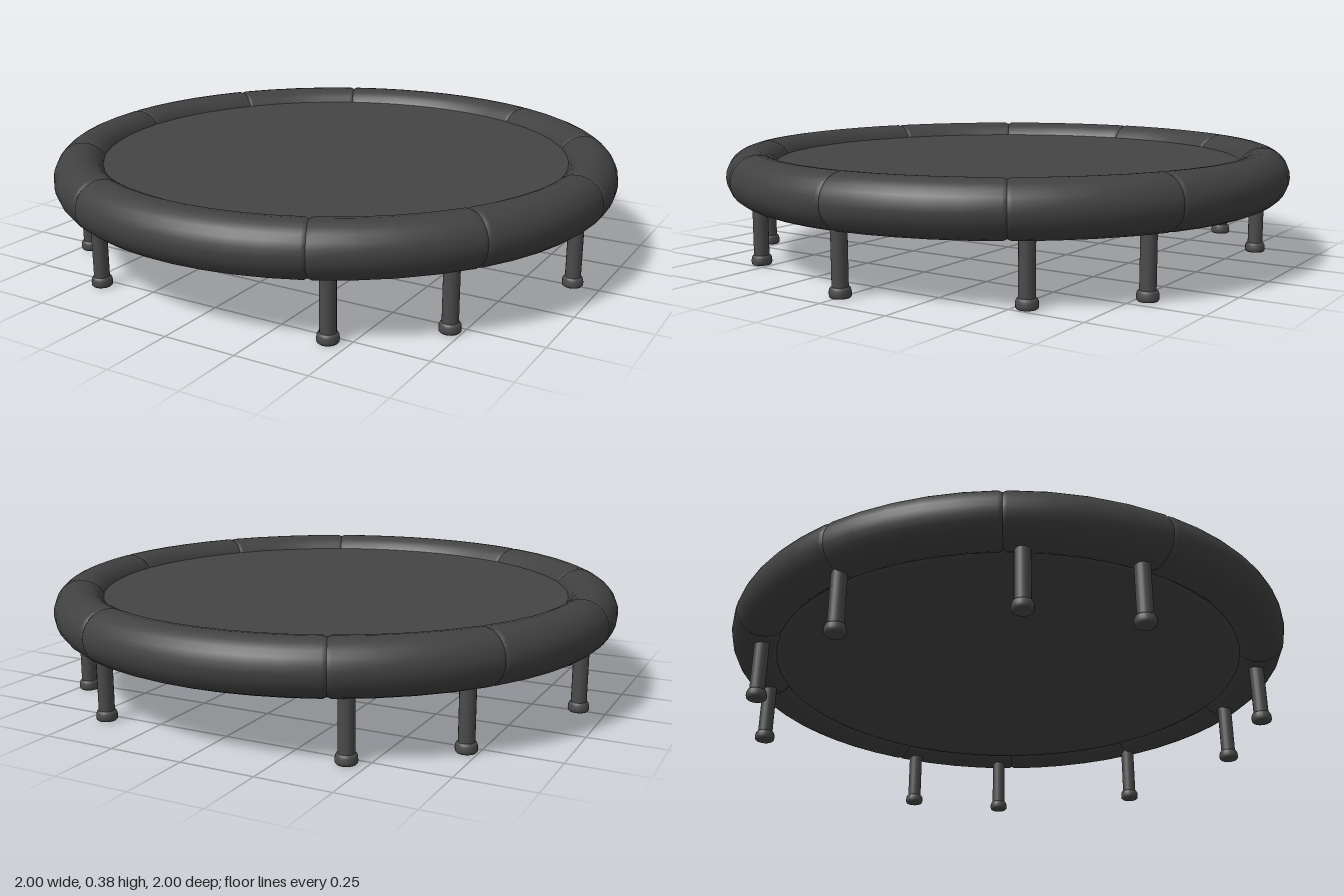
import * as THREE from 'three';
import { mergeVertices } from 'three/addons/utils/BufferGeometryUtils.js';

const RING_R = 0.909, TUBE_R = 0.091, RING_Y = 0.294;

// One padded cover section: a torus arc whose two ends are pinched into a seam
function coverSection(start, end) {
  const sides = 24, steps = Math.max(6, Math.round((end - start) / 0.085));
  const geo = new THREE.TorusGeometry(RING_R, TUBE_R, sides, steps, end - start);
  const pos = geo.attributes.position;
  const lip = 0.014;
  for (let j = 0; j <= sides; j++) {
    const v = (j % sides) / sides * Math.PI * 2;
    for (let i = 0; i <= steps; i++) {
      const atEnd = i === 0 || i === steps;
      const t = (i - 1) / (steps - 2);
      const u = i === 0 ? start : i === steps ? end
        : start + lip + t * (end - start - 2 * lip);
      const r = atEnd ? TUBE_R - 0.006 : TUBE_R;
      const d = RING_R + r * Math.cos(v);
      pos.setXYZ(j * (steps + 1) + i, d * Math.cos(u), d * Math.sin(u), r * Math.sin(v));
    }
  }
  geo.deleteAttribute('uv');
  geo.deleteAttribute('normal');
  const smooth = mergeVertices(geo, 1e-5);
  smooth.computeVertexNormals();
  smooth.rotateX(-Math.PI / 2);
  return smooth;
}

function lathe(points, segments) {
  return new THREE.LatheGeometry(points.map(([x, y]) => new THREE.Vector2(x, y)), segments);
}

export function createModel() {
  const model = new THREE.Group();
  model.name = 'trampoline';

  const padding = new THREE.MeshStandardMaterial({ color: 0x414141 });
  padding.name = 'padding grey';
  const fabric = new THREE.MeshStandardMaterial({ color: 0x444444 });
  fabric.name = 'mat grey';
  const metal = new THREE.MeshStandardMaterial({ color: 0x4a4a4a });
  metal.name = 'leg grey';

  // Padded rim, ten sections with seams close to the legs
  const rim = new THREE.Group();
  rim.name = 'paddedRim';
  const seams = [0, 33.5, 64.5, 115.5, 146.5, 180, 213.5, 244.5, 295.5, 326.5, 360]
    .map(THREE.MathUtils.degToRad);
  for (let i = 0; i < seams.length - 1; i++) {
    const section = new THREE.Mesh(coverSection(seams[i], seams[i + 1]), padding);
    section.name = 'rimSection';
    section.position.y = RING_Y;
    rim.add(section);
  }
  model.add(rim);

  // Jumping mat: thick disc with a softly rounded lower edge
  const mat = new THREE.Group();
  mat.name = 'mat';
  const top = new THREE.Mesh(new THREE.CircleGeometry(0.85, 72), fabric);
  top.name = 'matTop';
  top.rotation.x = -Math.PI / 2;
  top.position.y = 0.338;
  const underside = new THREE.Mesh(lathe([
    [0, 0.218], [0.7, 0.218], [0.79, 0.219], [0.82, 0.223], [0.838, 0.232], [0.85, 0.25], [0.85, 0.338],
  ], 72), fabric);
  underside.name = 'matUnderside';
  mat.add(top, underside);
  model.add(mat);

  // Ten legs with rounded rubber feet
  const legGeo = new THREE.CylinderGeometry(0.026, 0.026, 0.24, 20, 1, true);
  const footGeo = lathe([
    [0, 0], [0.03, 0], [0.034, 0.004], [0.035, 0.012], [0.034, 0.024], [0.031, 0.031], [0.025, 0.034],
  ], 20);
  const spots = [];
  for (const sx of [-1, 1]) {
    spots.push([sx * 0.91, 0]);
    for (const sz of [-1, 1]) {
      spots.push([sx * 0.713, sz * 0.54], [sx * 0.436, sz * 0.788]);
    }
  }
  for (const [x, z] of spots) {
    const leg = new THREE.Group();
    leg.name = 'leg';
    const post = new THREE.Mesh(legGeo, metal);
    post.name = 'legPost';
    post.position.y = 0.14;
    const foot = new THREE.Mesh(footGeo, metal);
    foot.name = 'foot';
    leg.add(post, foot);
    leg.position.set(x, 0, z);
    model.add(leg);
  }

  return model;
}
